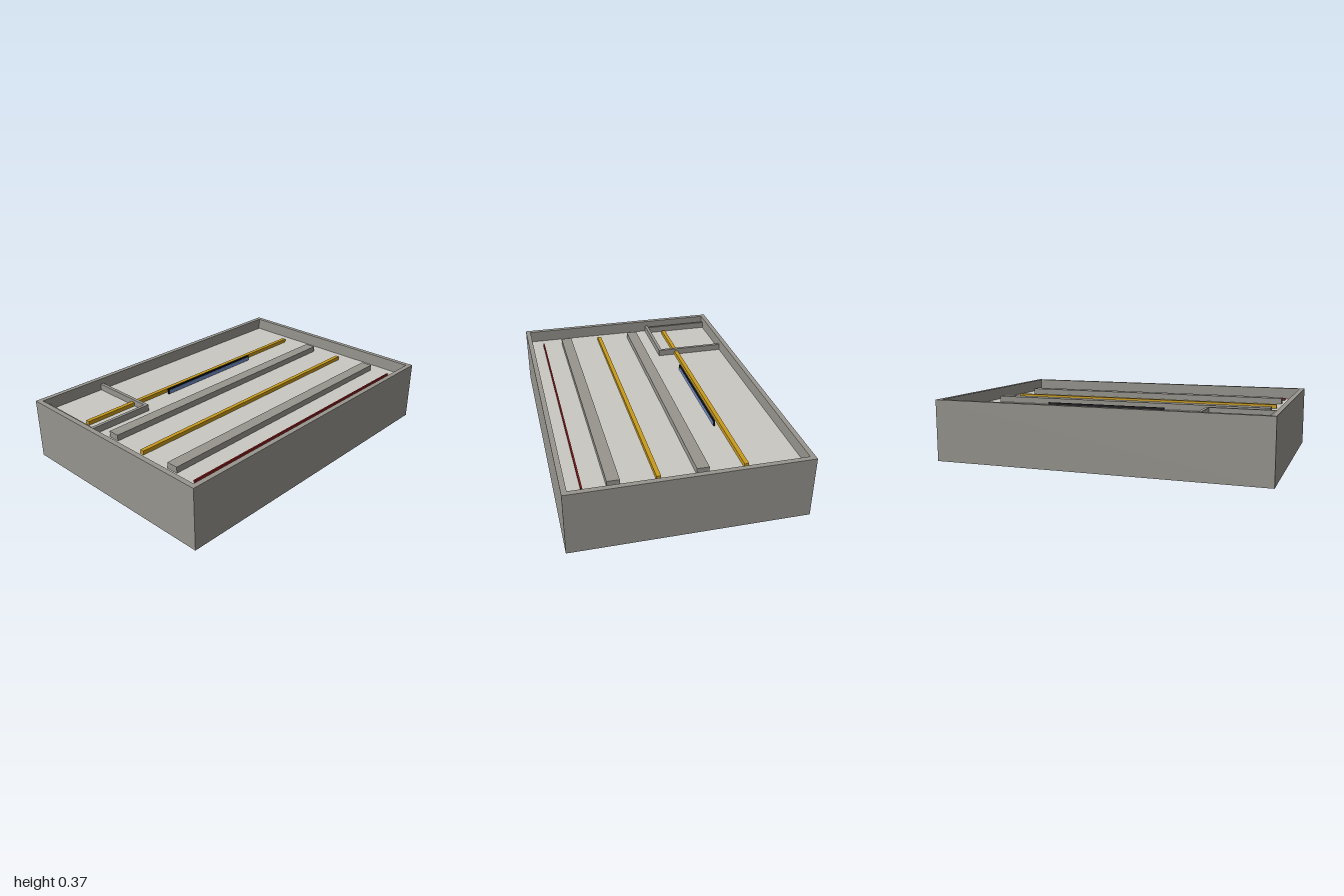
import * as THREE from 'three';

const FLOOR = 0.297; // height of the tray floor

function mat(name, color) {
  const m = new THREE.MeshStandardMaterial({ color });
  m.name = name;
  return m;
}

export function createModel() {
  const model = new THREE.Group();
  model.name = 'walledTray';

  const grey = mat('concreteGrey', 0x97958e);
  const pale = mat('paleFloor', 0xcac8c1);
  const yellow = mat('ochreYellow', 0xc89b1c);
  const red = mat('darkRed', 0x8c1c1c);
  const black = mat('black', 0x16161a);
  const blue = mat('screenBlue', 0x7390cc);

  // Box given by its limits on each axis
  function box(name, material, [x0, x1], [y0, y1], [z0, z1], parent = model) {
    const mesh = new THREE.Mesh(new THREE.BoxGeometry(x1 - x0, y1 - y0, z1 - z0), material);
    mesh.position.set((x0 + x1) / 2, (y0 + y1) / 2, (z0 + z1) / 2);
    mesh.name = name;
    parent.add(mesh);
    return mesh;
  }

  // Outer wall: rectangular ring over the full height
  const rect = (Type, x, z) => {
    const p = new Type();
    p.moveTo(-x, -z);
    p.lineTo(x, -z);
    p.lineTo(x, z);
    p.lineTo(-x, z);
    p.closePath();
    return p;
  };
  const ring = rect(THREE.Shape, 1, 0.676);
  ring.holes.push(rect(THREE.Path, 0.97, 0.646));
  const wallGeometry = new THREE.ExtrudeGeometry(ring, { depth: 0.371, bevelEnabled: false });
  wallGeometry.rotateX(-Math.PI / 2);
  const wall = new THREE.Mesh(wallGeometry, grey);
  wall.name = 'outerWall';
  model.add(wall);

  // Solid slab inside the ring, with a pale top face
  box('floorSlab', [grey, grey, pale, grey, grey, grey], [-0.97, 0.97], [0, FLOOR], [-0.646, 0.646]);

  // Small room in the back corner
  const room = new THREE.Group();
  room.name = 'cornerRoom';
  model.add(room);
  const roomY = [FLOOR, 0.337];
  box('roomFrontWall', grey, [-0.97, -0.53], roomY, [-0.225, -0.205], room);
  box('roomSideWall', grey, [-0.55, -0.53], roomY, [-0.646, -0.225], room);
  box('roomInnerWall', grey, [-0.945, -0.93], roomY, [-0.646, -0.225], room);

  // Long rows across the floor
  const length = [-0.887, 0.887];
  for (const z of [-0.084, 0.398]) box('longBench', grey, length, [FLOOR, 0.334], [z - 0.035, z + 0.035]);
  for (const z of [-0.327, 0.157]) box('yellowRail', yellow, length, [FLOOR, 0.321], [z - 0.0125, z + 0.0125]);
  box('redRail', red, length, [FLOOR, 0.313], [0.558, 0.567]);

  // Upright screen: black panel with a blue face towards the front
  const screen = new THREE.Group();
  screen.name = 'screen';
  model.add(screen);
  box('screenPanel', black, [-0.298, 0.45], [FLOOR, 0.332], [-0.293, -0.285], screen);
  box('screenFace', blue, [-0.288, 0.44], [0.299, 0.323], [-0.285, -0.283], screen);

  return model;
}
